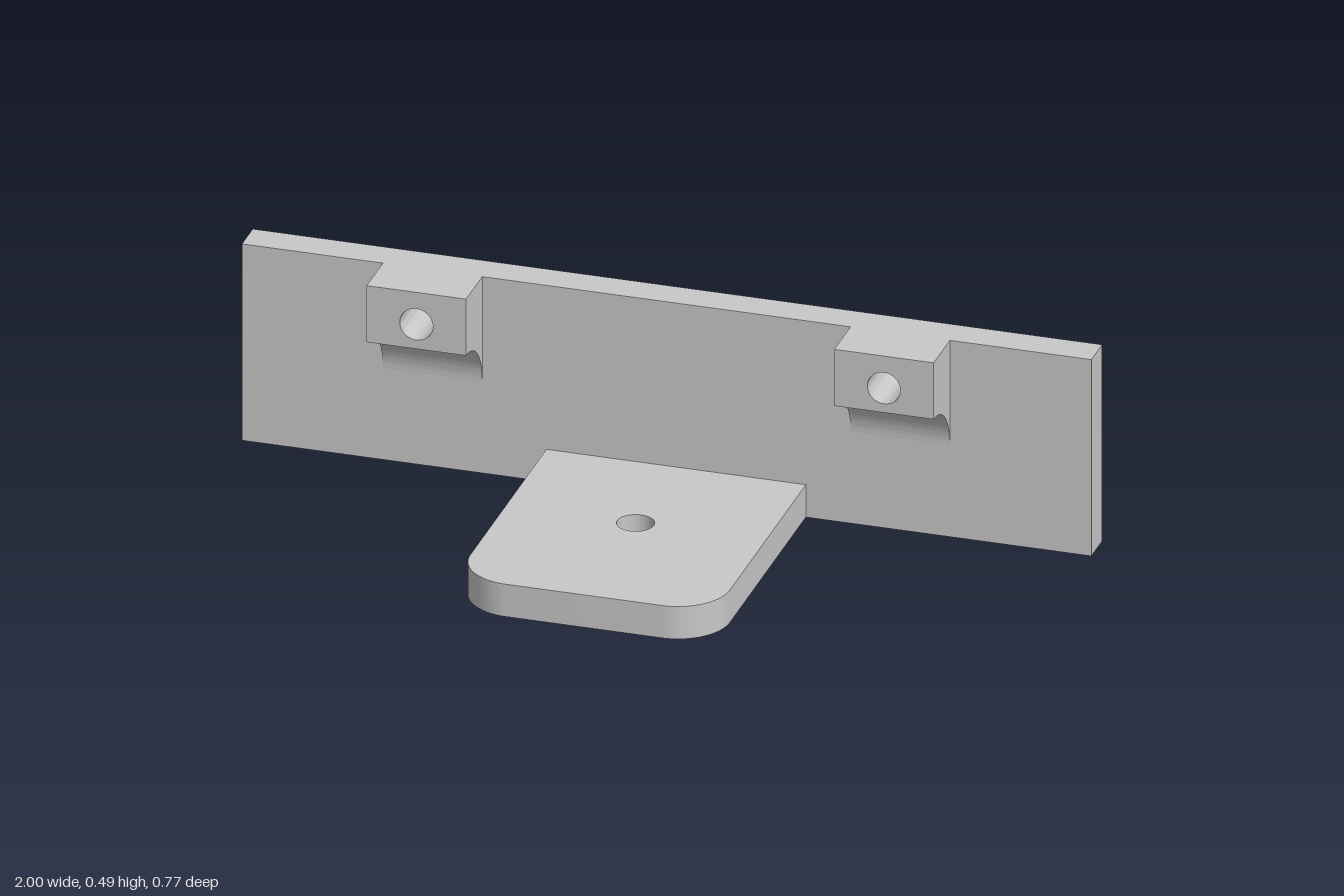
import * as THREE from 'three';
import { toCreasedNormals } from 'three/addons/utils/BufferGeometryUtils.js';

const HEIGHT = 0.49;      // plate height
const BACK = -0.387;      // rear face of the plate
const FACE = -0.306;      // front face of the plate
const LUG_FRONT = -0.184; // front face of the lugs
const LUG_BASE = 0.349;   // underside of the lug blocks
const HOLES = [-0.551, 0.55];
const LUG_W = 0.234;

function rect(x0, y0, x1, y1) {
  return new THREE.Shape([[x0, y0], [x1, y0], [x1, y1], [x0, y1]].map(p => new THREE.Vector2(...p)));
}

function drill(shape, x, y, r) {
  const hole = new THREE.Path();
  hole.absarc(x, y, r, 0, Math.PI * 2, true);
  shape.holes.push(hole);
}

// Straight extrusion without bevels
function extrude(shape, depth) {
  return new THREE.ExtrudeGeometry(shape, { depth, bevelEnabled: false, curveSegments: 24 });
}

export function createModel() {
  const group = new THREE.Group();
  const grey = new THREE.MeshStandardMaterial({ color: 0xc8c8c8 });
  grey.name = 'lightGrey';

  // Smooth curves, sharp edges
  function add(name, geometry) {
    const mesh = new THREE.Mesh(toCreasedNormals(geometry, 0.6), grey);
    mesh.name = name;
    group.add(mesh);
  }

  // Upright plate with two screw holes
  const plate = rect(-1, 0, 1, HEIGHT);
  HOLES.forEach(x => drill(plate, x, 0.41, 0.039));
  add('backPlate', extrude(plate, FACE - BACK).translate(0, 0, BACK));

  // Drilled lugs, each blended into the plate by a concave fillet
  const r = LUG_FRONT - FACE;
  HOLES.forEach((x, i) => {
    const side = i ? 'left' : 'right';
    const block = rect(x - LUG_W / 2, LUG_BASE, x + LUG_W / 2, HEIGHT);
    drill(block, x, 0.41, 0.039);
    add(side + 'Lug', extrude(block, r).translate(0, 0, FACE));

    const fillet = new THREE.Shape();
    fillet.moveTo(FACE, LUG_BASE);
    fillet.lineTo(FACE, LUG_BASE - r);
    fillet.absarc(LUG_FRONT, LUG_BASE - r, r, Math.PI, Math.PI / 2, true);
    add(side + 'LugFillet', extrude(fillet, LUG_W).rotateY(-Math.PI / 2).translate(x + LUG_W / 2, 0, 0));
  });

  // Horizontal tab with rounded front corners and a centre hole
  const x0 = -0.283, x1 = 0.328, z1 = 0.387, c = 0.122, thick = 0.081;
  const tab = new THREE.Shape();
  tab.moveTo(x0, FACE);
  tab.lineTo(x1, FACE);
  tab.absarc(x1 - c, z1 - c, c, 0, Math.PI / 2, false);
  tab.absarc(x0 + c, z1 - c, c, Math.PI / 2, Math.PI, false);
  drill(tab, 0.022, -0.003, 0.043);
  add('baseTab', extrude(tab, thick).rotateX(Math.PI / 2).translate(0, thick, 0));

  return group;
}
